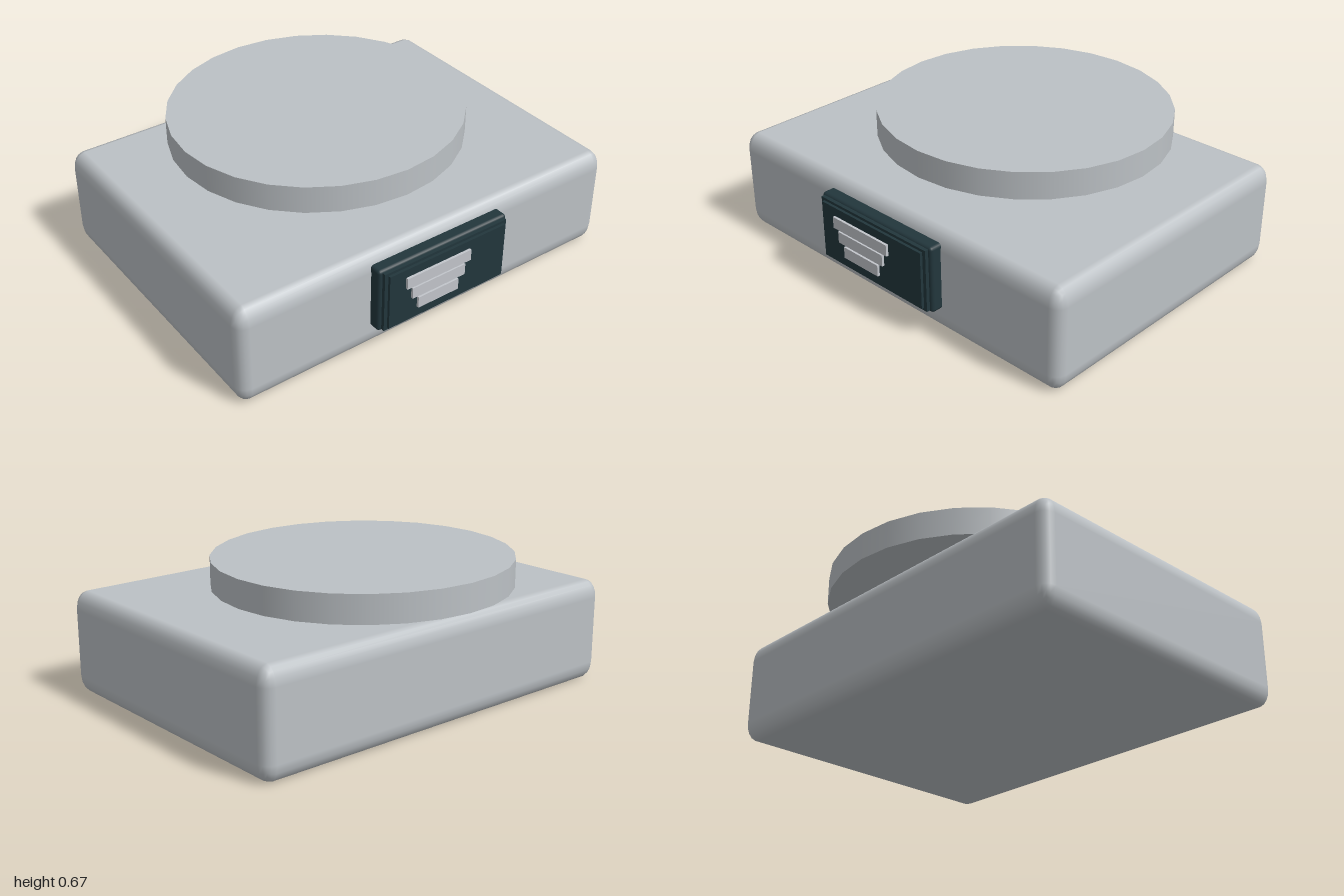
import * as THREE from 'three';
import { RoundedBoxGeometry } from 'three/addons/geometries/RoundedBoxGeometry.js';

const casing = new THREE.MeshStandardMaterial({ name: 'casing grey', color: 0xbcc1c5 });
const dark = new THREE.MeshStandardMaterial({ name: 'dark teal', color: 0x22363c });
const light = new THREE.MeshStandardMaterial({ name: 'light grey', color: 0xc2c5cb });

export function createModel() {
  const model = new THREE.Group();

  const add = (name, geometry, material, x, y, z) => {
    const mesh = new THREE.Mesh(geometry, material);
    mesh.name = name;
    mesh.position.set(x, y, z);
    model.add(mesh);
    return mesh;
  };

  // Rounded casing, with edges rounded more in height than in width
  const stretch = 1.55;
  const body = add('body', new RoundedBoxGeometry(2, 0.49 / stretch, 1.46, 2, 0.055), casing, 0, 0.245, 0.007);
  body.scale.y = stretch;

  // Slightly oval disc hovering above the casing
  const disc = add('topDisc', new THREE.CylinderGeometry(0.7, 0.7, 0.13, 28), casing, 0, 0.605, -0.15);
  disc.scale.z = 0.68 / 0.7;

  // Stepped front panel: each layer is smaller and further forward
  add('panelFrame', new RoundedBoxGeometry(0.7, 0.32, 0.1, 2, 0.015), dark, 0, 0.28, 0.74);
  add('panelStep', new THREE.BoxGeometry(0.665, 0.3, 0.04), dark, 0, 0.28, 0.787);
  add('panelFace', new THREE.BoxGeometry(0.63, 0.275, 0.04), dark, 0, 0.28, 0.8);

  // Three bars on the panel, narrowing downwards
  [[0.347, 0.349], [0.287, 0.286], [0.22, 0.221]].forEach(([width, y], i) => {
    add('panelBar' + (i + 1), new THREE.BoxGeometry(width, 0.055, 0.015), light, -0.057, y, 0.8245);
  });

  return model;
}
